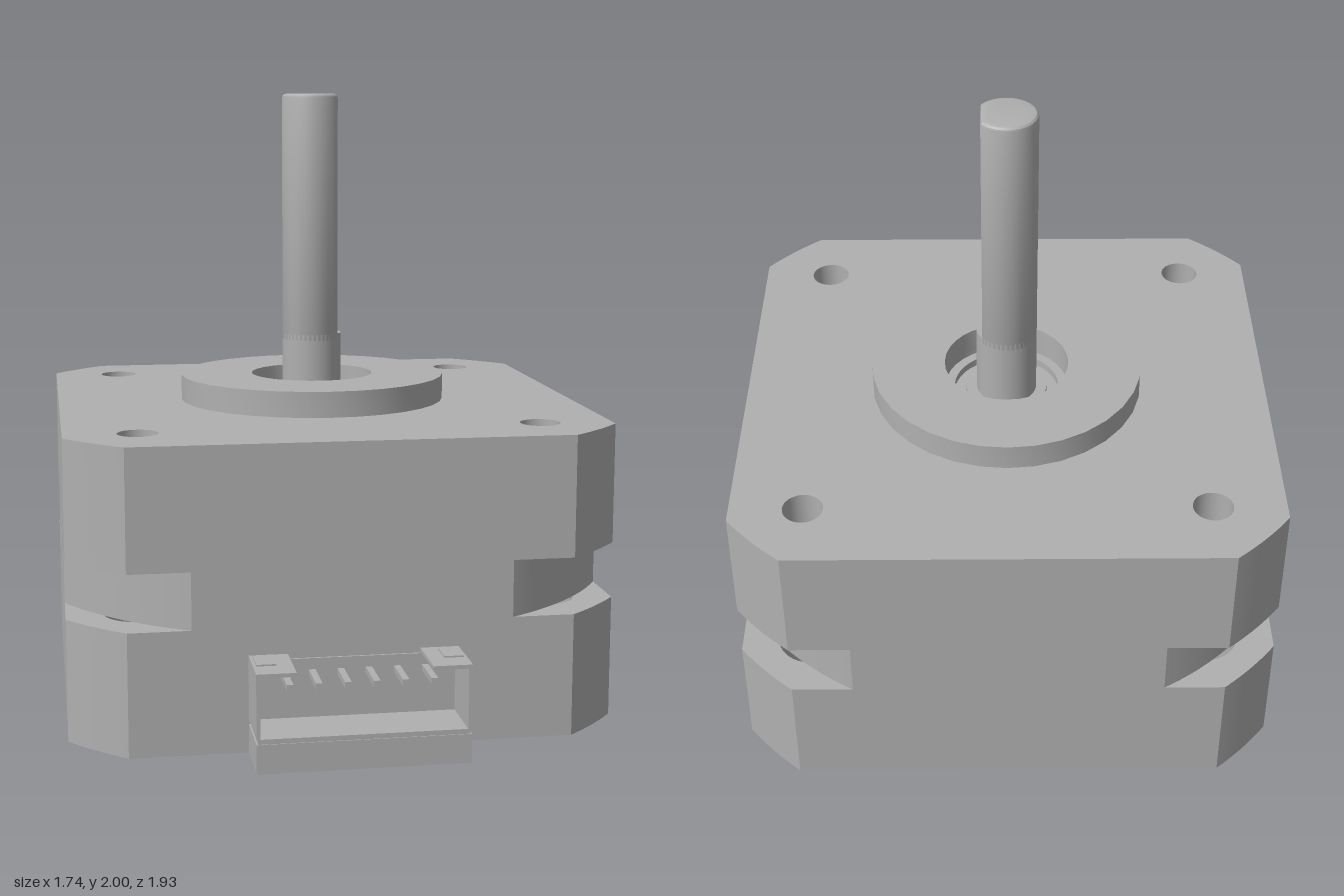
import * as THREE from 'three';
import { toCreasedNormals } from 'three/addons/utils/BufferGeometryUtils.js';

const grey = new THREE.MeshStandardMaterial({ color: 0xb0b0b0 });
grey.name = 'metal grey';

const HALF = 0.868;   // half width of the square body
const HOLE = 0.637;   // screw hole offset from the axis
const corners = [[1, 1], [-1, 1], [-1, -1], [1, -1]];

export function createModel() {
  const root = new THREE.Group();
  const motor = new THREE.Group();
  motor.name = 'motor';
  motor.position.z = -0.095;
  root.add(motor);

  function add(parent, name, geo, x = 0, y = 0, z = 0) {
    const mesh = new THREE.Mesh(geo, grey);
    mesh.name = name;
    mesh.position.set(x, y, z);
    parent.add(mesh);
    return mesh;
  }
  function box(parent, name, x0, x1, y0, y1, z0, z1) {
    return add(parent, name, new THREE.BoxGeometry(x1 - x0, y1 - y0, z1 - z0),
      (x0 + x1) / 2, (y0 + y1) / 2, (z0 + z1) / 2);
  }
  // upright extrusion of a plan outline
  function slab(name, shape, y0, y1, opts = {}) {
    const geo = new THREE.ExtrudeGeometry(shape,
      { depth: y1 - y0, bevelEnabled: false, curveSegments: 16, ...opts });
    geo.rotateX(-Math.PI / 2);
    return add(motor, name, toCreasedNormals(geo, 0.4), 0, y0, 0);
  }
  function circle(x, y, r, Kind = THREE.Path) {
    return new Kind().absarc(x, y, r, 0, Math.PI * 2, false);
  }
  // square clipped by a circle of radius r
  function plate(r, centreHole, screwHole) {
    const s = new THREE.Shape();
    const a = Math.acos(HALF / r);
    for (let i = 0; i < 4; i++) {
      const q = i * Math.PI / 2;
      s.absarc(0, 0, r, q + a, q + Math.PI / 2 - a, false);
    }
    s.closePath();
    if (centreHole) s.holes.push(circle(0, 0, centreHole));
    if (screwHole) for (const [x, z] of corners) s.holes.push(circle(x * HOLE, z * HOLE, screwHole));
    return s;
  }

  // body: two end caps around a waist with rounder corners
  slab('bottomCap', plate(1.109, 0.18, 0.115), 0.01, 0.4);
  slab('waist', plate(1.0), 0.4, 0.58);
  slab('topCap', plate(1.109, 0.207, 0.064), 0.58, 0.965);

  // raised pilot ring
  const ring = circle(0, 0, 0.45, THREE.Shape);
  ring.holes.push(circle(0, 0, 0.207));
  slab('pilotRing', ring, 0.965, 1.05);

  // stepped bearings seen inside the top and bottom openings
  const lathe = pts => toCreasedNormals(new THREE.LatheGeometry(
    pts.map(([r, y]) => new THREE.Vector2(r, y)), 40), 0.4);
  add(motor, 'topBearing', lathe([[0.207, 0.8], [0.207, 0.95], [0.175, 0.95], [0.175, 0.925],
    [0.135, 0.925], [0.135, 0.95], [0.09, 0.95]]));
  add(motor, 'bottomBearing', lathe([[0, 0.16], [0.07, 0.16], [0.07, 0.13], [0.12, 0.13],
    [0.12, 0.15], [0.15, 0.15], [0.15, 0.13], [0.18, 0.13]]));

  // shaft: round foot, then a D section with a rounded tip
  add(motor, 'shaftFoot', new THREE.CylinderGeometry(0.1, 0.1, 0.39, 40), 0, 0.995, 0);
  const flat = Math.acos(0.8);
  const d = new THREE.Shape();
  d.absarc(0, 0, 0.1, flat, Math.PI * 2 - flat, false);
  d.closePath();
  slab('shaft', d, 1.17, 1.985,
    { bevelEnabled: true, bevelSize: 0.015, bevelThickness: 0.015, bevelOffset: -0.015, bevelSegments: 3 });

  // recessed cross-head screws underneath, and hole floors on top
  const head = circle(0, 0, 0.1, THREE.Shape);
  const w = 0.014, l = 0.07;
  head.holes.push(new THREE.Path([[w, w], [w, l], [-w, l], [-w, w], [-l, w], [-l, -w], [-w, -w],
    [-w, -l], [w, -l], [w, -w], [l, -w], [l, w]].map(p => new THREE.Vector2(...p))));
  for (const [x, z] of corners) {
    const screw = slab('screwHead', head, 0.03, 0.08);
    screw.position.x = x * HOLE;
    screw.position.z = z * HOLE;
    add(motor, 'screwSeat', new THREE.CylinderGeometry(0.115, 0.115, 0.02, 32), x * HOLE, 0.09, z * HOLE);
    add(motor, 'holeFloor', new THREE.CylinderGeometry(0.064, 0.064, 0.02, 24), x * HOLE, 0.77, z * HOLE);
  }

  // thin raised marking frame underneath, with plain bars
  for (const s of [-1, 1]) {
    box(root, 'markSide', s * 0.185 - 0.005, s * 0.185 + 0.005, 0, 0.01, -0.78, -0.5);
    box(root, 'markEnd', -0.19, 0.19, 0, 0.01, -0.64 + s * 0.135 - 0.005, -0.64 + s * 0.135 + 0.005);
  }
  for (let i = 0; i < 3; i++) {
    box(root, 'markBar', -0.12, 0.12 - i * 0.03, 0, 0.01, -0.72 + i * 0.07, -0.705 + i * 0.07);
  }
  box(root, 'markFoot', -0.14, 0.14, 0, 0.01, -0.44, -0.42);

  // connector: base and thin-walled socket open to the front
  const socket = new THREE.Group();
  socket.name = 'connector';
  root.add(socket);
  const back = 0.77, front = 0.963;
  box(socket, 'connectorBase', -0.325, 0.325, 0.01, 0.1, back, front);
  box(socket, 'socketFloor', -0.32, 0.32, 0.1, 0.115, back, front - 0.003);
  box(socket, 'socketBack', -0.32, 0.32, 0.115, 0.3, back, 0.78);
  for (const s of [-1, 1]) {
    const span = (a, b) => (s > 0 ? [a, b] : [-b, -a]);
    box(socket, 'socketWall', ...span(0.313, 0.325), 0.115, 0.315, back, front);
    box(socket, 'socketRoof', ...span(0.205, 0.313), 0.303, 0.315, back, front);
    box(socket, 'latchPad', ...span(0.255, 0.315), 0.315, 0.32, 0.795, 0.885);
  }
  for (let i = 0; i < 6; i++) {
    const x = (i - 2.5) * 0.0875;
    box(socket, 'pin', x - 0.01, x + 0.01, 0.245, 0.265, back, 0.92);
  }

  return root;
}
